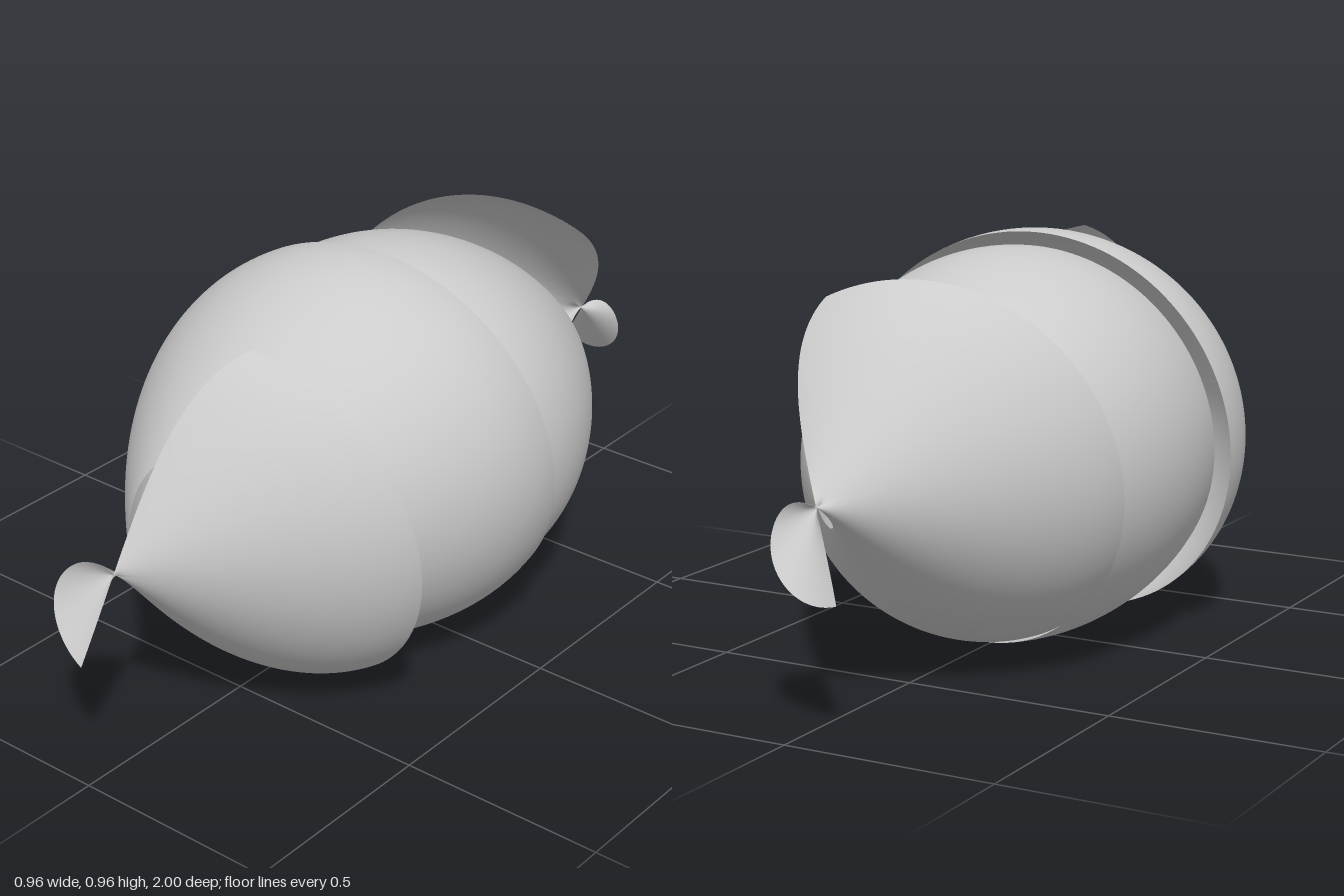
import * as THREE from 'three';

const CENTRE = 0.48; // height of the winding axis
const TURN = 1106;   // total winding in degrees, about three turns
const TWIST = 13;    // sideways lean of the sheet from edge to edge, degrees
const rad = THREE.MathUtils.degToRad;
const mix = THREE.MathUtils.lerp;

// Edge of the wound sheet at equal steps of winding: (z, profile angle in degrees)
const edgeCurve = (points) => new THREE.CatmullRomCurve3(
  points.map(([z, a]) => new THREE.Vector3(z, a, 0)), false, 'catmullrom', 0.5);

const leadEdge = edgeCurve([
  [1, -21], [0.95, -11], [0.88, -1], [0.7, 16], [0.585, 25], [0.41, 46], [0.27, 64],
  [0.145, 73], [0.03, 82], [-0.085, 87], [-0.21, 95], [-0.36, 106], [-0.53, 109],
]);
const trailEdge = edgeCurve([
  [0.54, 69], [0.4, 76], [0.28, 86], [0.13, 93], [0.02, 97], [-0.1, 103], [-0.22, 108],
  [-0.37, 125], [-0.56, 153], [-0.69, 164], [-0.87, 180], [-0.93, 191], [-1, 208],
]);

// Sheet wound round the z axis; its radius is the sine of the profile angle,
// so the two ends pass through the axis and flare out as small tails.
function woundSheet(along, across) {
  const positions = [];
  const index = [];
  for (let i = 0; i <= along; i++) {
    const t = i / along;
    const lead = leadEdge.getPoint(t);
    const trail = trailEdge.getPoint(t);
    // the rear turns lie slightly inside the front ones
    const radius = mix(0.482, 0.453, THREE.MathUtils.smoothstep(t, 0.45, 0.64));
    for (let j = 0; j <= across; j++) {
      const s = j / across;
      const z = mix(lead.x, trail.x, s);
      const r = radius * Math.sin(rad(mix(lead.y, trail.y, s)));
      const lean = TWIST * mix(s ** 3, 1 - (1 - s) ** 3, t);
      const theta = rad(90 - TURN * t - lean);
      positions.push(r * Math.cos(theta), CENTRE + r * Math.sin(theta), z);
      if (i < along && j < across) {
        const a = i * (across + 1) + j;
        const b = a + across + 1;
        index.push(a, b, a + 1, b, b + 1, a + 1);
      }
    }
  }
  const geometry = new THREE.BufferGeometry();
  geometry.setAttribute('position', new THREE.Float32BufferAttribute(positions, 3));
  geometry.setIndex(index);
  geometry.computeVertexNormals();
  return geometry;
}

export function createModel() {
  const group = new THREE.Group();
  group.name = 'spiralShell';
  const material = new THREE.MeshStandardMaterial({ color: 0xcccccc, side: THREE.DoubleSide });
  const sheet = new THREE.Mesh(woundSheet(420, 48), material);
  sheet.name = 'woundSheet';
  group.add(sheet);
  return group;
}
